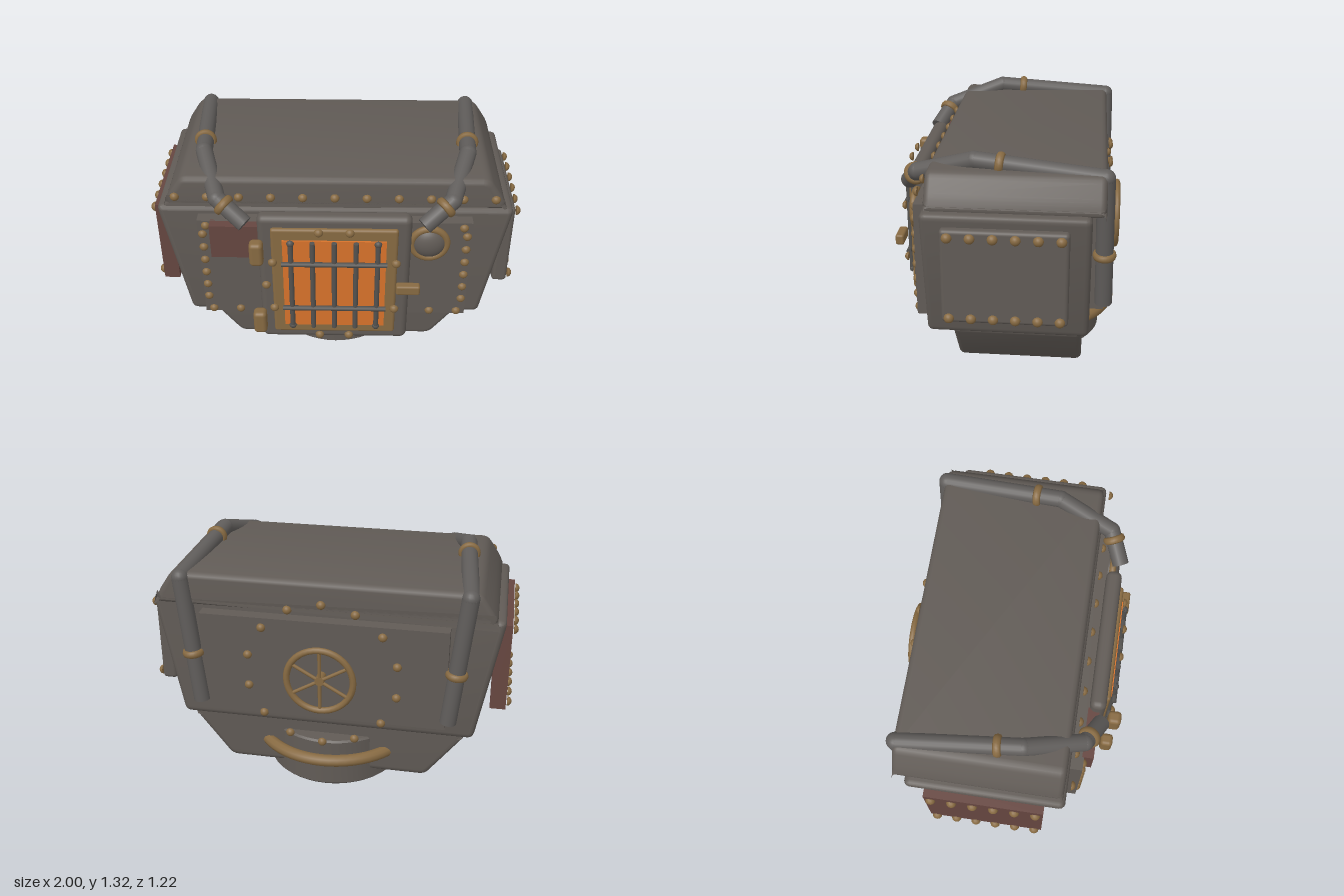
import * as THREE from 'three';
import { toCreasedNormals } from 'three/addons/utils/BufferGeometryUtils.js';
import { RoundedBoxGeometry } from 'three/addons/geometries/RoundedBoxGeometry.js';

const mat = (name, color) => {
  const m = new THREE.MeshStandardMaterial({ color });
  m.name = name;
  return m;
};

export function createModel() {
  const steel = mat('steel', 0x615b56);
  const pipeSteel = mat('pipe steel', 0x605d5b);
  const barSteel = mat('bar steel', 0x54524f);
  const brass = mat('brass', 0x876a42);
  const rust = mat('rust', 0x664640);
  const glow = mat('furnace glow', 0xd8732b);
  const model = new THREE.Group();
  const V = (x, y, z) => new THREE.Vector3(x, y, z);
  const UP = V(0, 1, 0), FRONT = V(0, 0, 1);

  const add = (name, geo, material, x = 0, y = 0, z = 0, parent = model) => {
    const m = new THREE.Mesh(geo, material);
    m.name = name;
    m.position.set(x, y, z);
    parent.add(m);
    return m;
  };
  const group = (name) => {
    const g = new THREE.Group();
    g.name = name;
    model.add(g);
    return g;
  };
  // box given by its lower and upper limits; r rounds the edges
  const box = (name, material, [x0, x1], [y0, y1], [z0, z1], r = 0, parent = model) => {
    const s = [x1 - x0, y1 - y0, z1 - z0];
    const geo = r ? new RoundedBoxGeometry(...s, 3, r) : new THREE.BoxGeometry(...s);
    return add(name, geo, material, (x0 + x1) / 2, (y0 + y1) / 2, (z0 + z1) / 2, parent);
  };

  // symmetric hull block: half outline [x, y] from bottom to top, bevelled towards front and back
  const hull = (name, half, z0, z1, bevel) => {
    const pts = [...half, ...half.map(([x, y]) => [-x, y]).reverse()].map(([x, y]) => new THREE.Vector2(x, y));
    const shape = new THREE.Shape();
    const n = pts.length;
    pts.forEach((p, i) => {
      const toward = (q) => p.clone().add(q.clone().sub(p).setLength(0.035));
      const a = toward(pts[(i + n - 1) % n]), b = toward(pts[(i + 1) % n]);
      if (i) shape.lineTo(a.x, a.y);
      else shape.moveTo(a.x, a.y);
      shape.quadraticCurveTo(p.x, p.y, b.x, b.y);
    });
    const geo = new THREE.ExtrudeGeometry(shape, {
      depth: z1 - z0 - 2 * bevel, bevelSize: bevel, bevelThickness: bevel,
      bevelOffset: -bevel, bevelSegments: 3, curveSegments: 4,
    });
    geo.translate(0, 0, z0 + bevel);
    return add(name, toCreasedNormals(geo, 0.6), steel);
  };
  hull('mainBody', [[0.81, 0.36], [0.94, 1.07]], -0.455, 0.375, 0.03);
  hull('lid', [[0.9, 1.06], [0.88, 1.12], [0.8, 1.24]], -0.52, 0.36, 0.03);
  hull('lowerBody', [[0.56, 0.07], [0.78, 0.36]], -0.42, 0.25, 0.03);

  // turntable base and the brass ring round it
  const baseProfile = [[0, 0], [0.37, 0], [0.385, 0.015], [0.385, 0.28], [0.375, 0.29], [0, 0.29]];
  const baseGeo = new THREE.LatheGeometry(baseProfile.map(([x, y]) => new THREE.Vector2(x, y)), 48);
  add('base', toCreasedNormals(baseGeo, 0.5), steel, 0, 0, -0.125);
  const ring = add('baseRing', new THREE.TorusGeometry(0.437, 0.034, 10, 64), brass, 0, 0.2, -0.125);
  ring.rotation.x = Math.PI / 2;

  // bolts under the lower body
  const bolts = group('underBolts');
  for (const sx of [-1, 1]) for (const z of [0.02, -0.27]) {
    const bolt = new THREE.Group();
    bolt.name = 'underBolt';
    bolt.position.set(sx * 0.41, 0.052, z);
    bolt.quaternion.setFromUnitVectors(FRONT, V(sx * 0.45, -0.9, 0).normalize());
    bolts.add(bolt);
    add('boltCollar', new THREE.TorusGeometry(0.036, 0.015, 8, 20), brass, 0, 0, 0, bolt);
    add('boltHead', new THREE.SphereGeometry(0.034, 16, 10), steel, 0, 0, 0, bolt).scale.z = 0.7;
  }

  // rivets: closed domes pointing along a direction
  const dome = [new THREE.Vector2(0, 0)];
  for (let i = 0; i <= 5; i++) {
    const a = (i / 5) * Math.PI / 2;
    dome.push(new THREE.Vector2(i === 5 ? 0 : Math.cos(a), Math.sin(a) * 0.9));
  }
  const rivetGeo = toCreasedNormals(new THREE.LatheGeometry(dome, 14), 0.9);
  const rivets = (name, dir, points, r = 0.024, material = brass) => {
    const g = group(name);
    for (const [x, y, z] of points) {
      const m = add('rivet', rivetGeo, material, x, y, z, g);
      m.quaternion.setFromUnitVectors(UP, dir);
      m.scale.setScalar(r);
    }
  };
  const lidRow = [], frontRows = [], backCircle = [];
  for (let i = -5; i <= 5; i++) lidRow.push([i * 0.166, 1.147, 0.39]);
  rivets('lidRivets', FRONT, lidRow);

  // front armour plate
  box('frontPlate', steel, [-0.72, 0.72], [0.41, 1.03], [0.36, 0.44]);
  for (const s of [-1, 1]) {
    frontRows.push([s * 0.675, 1.0, 0.438], [s * 0.675, 0.43, 0.438], [s * 0.525, 0.43, 0.438]);
    for (let i = 0; i < 6; i++) frontRows.push([s * 0.695, 0.52 + i * 0.085, 0.438]);
  }
  rivets('frontPlateRivets', FRONT, frontRows);
  box('frontPatch', rust, [-0.65, -0.38], [0.83, 1.03], [0.43, 0.49]);
  const chin = box('chinPatch', rust, [-0.375, 0.375], [0.145, 0.315], [0.253, 0.301]);
  chin.rotation.x = -0.21;

  // porthole
  add('portholeRing', new THREE.TorusGeometry(0.092, 0.019, 10, 36), brass, 0.495, 0.92, 0.467);
  add('portholeDome', new THREE.SphereGeometry(0.09, 28, 18), steel, 0.495, 0.92, 0.455).scale.z = 0.6;

  // furnace door
  box('doorFrame', steel, [-0.4, 0.4], [0.285, 1.11], [0.435, 0.52], 0.035);
  box('doorTrim', brass, [-0.33, 0.33], [0.35, 1.05], [0.49, 0.54], 0.015);
  box('doorWindow', glow, [-0.27, 0.27], [0.41, 0.985], [0.54, 0.549]);
  const grille = group('doorGrille');
  for (let i = -2; i <= 2; i++) {
    add('uprightBar', new THREE.CylinderGeometry(0.014, 0.014, 0.575, 10), barSteel, i * 0.113, 0.698, 0.564, grille);
  }
  for (const y of [0.55, 0.85]) {
    add('crossBar', new THREE.CylinderGeometry(0.014, 0.014, 0.55, 10), barSteel, 0, y, 0.57, grille).rotation.z = Math.PI / 2;
  }
  const doorRivets = [[-0.36, 0.7, 0.555]], knobs = [];
  for (const s of [-1, 1]) {
    for (const y of [0.35, 1.05]) doorRivets.push([s * 0.08, y, 0.56]);
    for (const y of [0.545, 0.855]) doorRivets.push([s * 0.322, y, 0.56]);
    for (const y of [0.42, 0.98]) knobs.push([s * 0.226, y, 0.562]);
  }
  rivets('doorRivets', FRONT, doorRivets);
  rivets('grilleKnobs', FRONT, knobs, 0.02, barSteel);
  for (const y of [0.465, 0.93]) box('hinge', brass, [-0.437, -0.365], [y - 0.07, y + 0.07], [0.542, 0.612], 0.022);
  box('latch', brass, [0.325, 0.452], [0.672, 0.73], [0.555, 0.602], 0.012);

  // side plates with two rivet rows each
  box('leftSidePlate', steel, [0.885, 0.967], [0.508, 1.007], [-0.352, 0.272], 0.02);
  box('rightSidePlate', rust, [-0.97, -0.885], [0.508, 1.007], [-0.352, 0.272]);
  for (const s of [-1, 1]) {
    const rows = [];
    for (let i = 0; i < 6; i++) for (const y of [0.54, 0.972]) rows.push([s * 0.976, y, 0.232 - i * 0.109]);
    rivets(s > 0 ? 'leftSideRivets' : 'rightSideRivets', V(s, 0, 0), rows, 0.026);
  }

  // back plate, rivet circle and valve wheel
  box('backPlate', steel, [-0.66, 0.66], [0.45, 1.02], [-0.525, -0.43]);
  for (let i = 0; i < 14; i++) {
    const a = (i / 14) * Math.PI * 2;
    backCircle.push([Math.sin(a) * 0.41, 0.715 + Math.cos(a) * 0.41, -0.535]);
  }
  rivets('backRivets', V(0, 0, -1), backCircle);
  const wheel = group('valveWheel');
  wheel.position.set(0, 0.715, -0.59);
  add('wheelRim', new THREE.TorusGeometry(0.178, 0.018, 8, 40), brass, 0, 0, 0, wheel);
  for (let i = 0; i < 3; i++) {
    add('wheelSpoke', new THREE.CylinderGeometry(0.01, 0.01, 0.35, 8), brass, 0, 0, 0, wheel).rotation.z = i * Math.PI / 3;
  }
  const hub = add('wheelHub', new THREE.CylinderGeometry(0.025, 0.025, 0.07, 14), brass, 0, 0, 0.025, wheel);
  hub.rotation.x = Math.PI / 2;

  // roof pipes with brass clamps, mirrored
  for (const s of [-1, 1]) {
    const pipe = group(s > 0 ? 'leftPipe' : 'rightPipe');
    const path = [[0.675, 0.5, -0.525], [0.75, 1.212, -0.512], [0.7, 1.267, 0.13], [0.605, 1.165, 0.43], [0.46, 1.06, 0.505]]
      .map(([x, y, z]) => V(s * x, y, z));
    for (let i = 0; i < path.length - 1; i++) {
      const a = path[i], b = path[i + 1];
      const dir = b.clone().sub(a);
      const mid = a.clone().lerp(b, 0.5);
      add('pipeSection', new THREE.CylinderGeometry(0.045, 0.045, dir.length(), 18), pipeSteel, mid.x, mid.y, mid.z, pipe)
        .quaternion.setFromUnitVectors(UP, dir.normalize());
      if (i) add('pipeElbow', new THREE.SphereGeometry(0.0455, 18, 12), pipeSteel, a.x, a.y, a.z, pipe);
    }
    for (const [i, t] of [[0, 0.4], [1, 0.8], [3, 0.25]]) {
      const p = path[i].clone().lerp(path[i + 1], t);
      const dir = path[i + 1].clone().sub(path[i]).normalize();
      const clamp = add('pipeClamp', new THREE.TorusGeometry(0.046, 0.014, 8, 28), brass, p.x, p.y, p.z, pipe);
      clamp.quaternion.setFromUnitVectors(FRONT, dir);
      clamp.scale.z = 1.5;
    }
  }
  return model;
}
